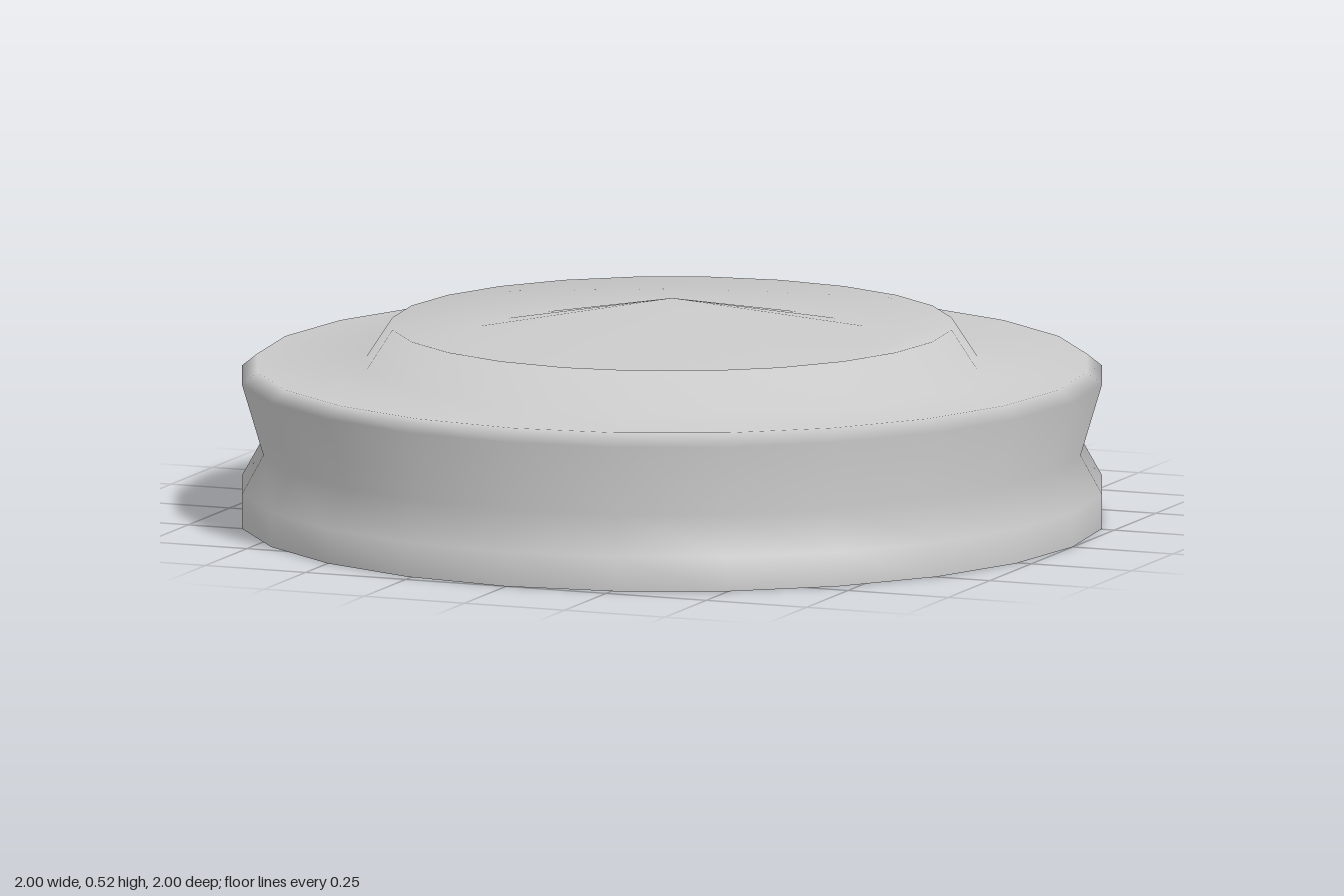
import * as THREE from 'three';
import { mergeVertices } from 'three/addons/utils/BufferGeometryUtils.js';

export function createModel() {
  const group = new THREE.Group();
  group.name = 'lid';

  // Profile from the open bottom rim up to the centre: [radius, height]
  const profile = [
    [1, 0], [1, 0.08], [0.95, 0.17], // lower skirt into the groove
    [1, 0.337], [0.965, 0.365],      // upper skirt and bevelled rim
    [0.71, 0.365], [0.65, 0.457],    // shoulder and raised step
    [0.48, 0.42], [0, 0.517],        // shallow dip, then the low central peak
  ].map(([r, y]) => new THREE.Vector2(r, y));

  // One thin 24-sided shell, smoothed across all its edges
  let geometry = new THREE.LatheGeometry(profile, 24);
  geometry.deleteAttribute('uv');
  geometry.deleteAttribute('normal');
  geometry = mergeVertices(geometry, 1e-4);
  geometry.computeVertexNormals();

  const shell = new THREE.Mesh(
    geometry,
    new THREE.MeshStandardMaterial({ color: 0xcccccc, side: THREE.DoubleSide })
  );
  shell.name = 'lidShell';
  group.add(shell);
  return group;
}
